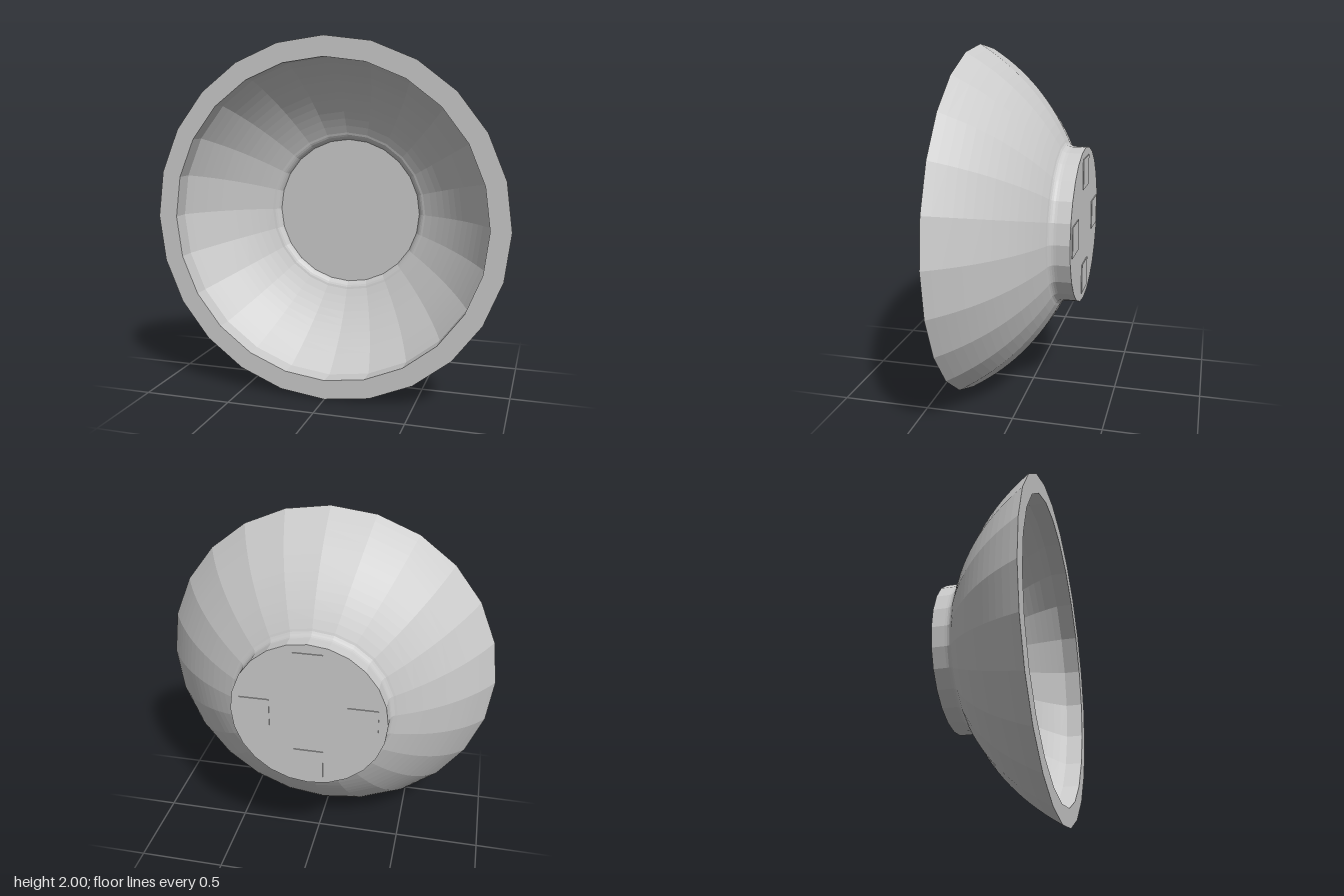
import * as THREE from 'three';

const SEGMENTS = 24;
const material = new THREE.MeshStandardMaterial({ color: 0xcccccc, flatShading: true });

// Points on a bowed line from a to b; sag pushes the middle sideways (to the right of travel)
function arc(a, b, sag, steps) {
  const [ax, ay] = a, [bx, by] = b;
  const length = Math.hypot(bx - ax, by - ay);
  const nx = (by - ay) / length, ny = -(bx - ax) / length;
  const points = [];
  for (let i = 0; i <= steps; i++) {
    const t = i / steps, bow = 4 * sag * t * (1 - t);
    points.push(new THREE.Vector2(ax + (bx - ax) * t + nx * bow, ay + (by - ay) * t + ny * bow));
  }
  return points;
}

// Faceted turned part whose axis runs along z
function turned(name, points) {
  const geometry = new THREE.LatheGeometry(points, SEGMENTS);
  geometry.rotateX(Math.PI / 2);
  const mesh = new THREE.Mesh(geometry, material);
  mesh.name = name;
  return mesh;
}

export function createModel() {
  const group = new THREE.Group();
  group.name = 'bowl';

  // Closed shell: foot, outer wall, flat rim, stepped lip, inner wall and floor
  const profile = [
    new THREE.Vector2(0, -0.3),
    new THREE.Vector2(0.443, -0.3),
    ...arc([0.443, -0.225], [0.478, -0.178], -0.011, 5),
    ...arc([0.478, -0.178], [1, 0.305], 0.052, 14).slice(1),
    new THREE.Vector2(0.89, 0.305),
    ...arc([0.89, 0.205], [0.475, -0.15], -0.04, 12),
    ...arc([0.475, -0.15], [0.432, -0.19], 0.009, 5).slice(1),
    new THREE.Vector2(0, -0.19),
  ];
  group.add(turned('bowlShell', profile));

  // Four thin square pads on the back of the foot
  for (let i = 0; i < 4; i++) {
    const angle = (i * Math.PI) / 2;
    const pad = new THREE.Mesh(new THREE.BoxGeometry(0.17, 0.17, 0.01), material);
    pad.position.set(0.305 * Math.cos(angle), 0.305 * Math.sin(angle), -0.3);
    pad.name = 'footPad' + (i + 1);
    group.add(pad);
  }

  // Stand the upright bowl on the ground
  group.children.forEach((part) => { part.position.y += 1; });
  return group;
}
